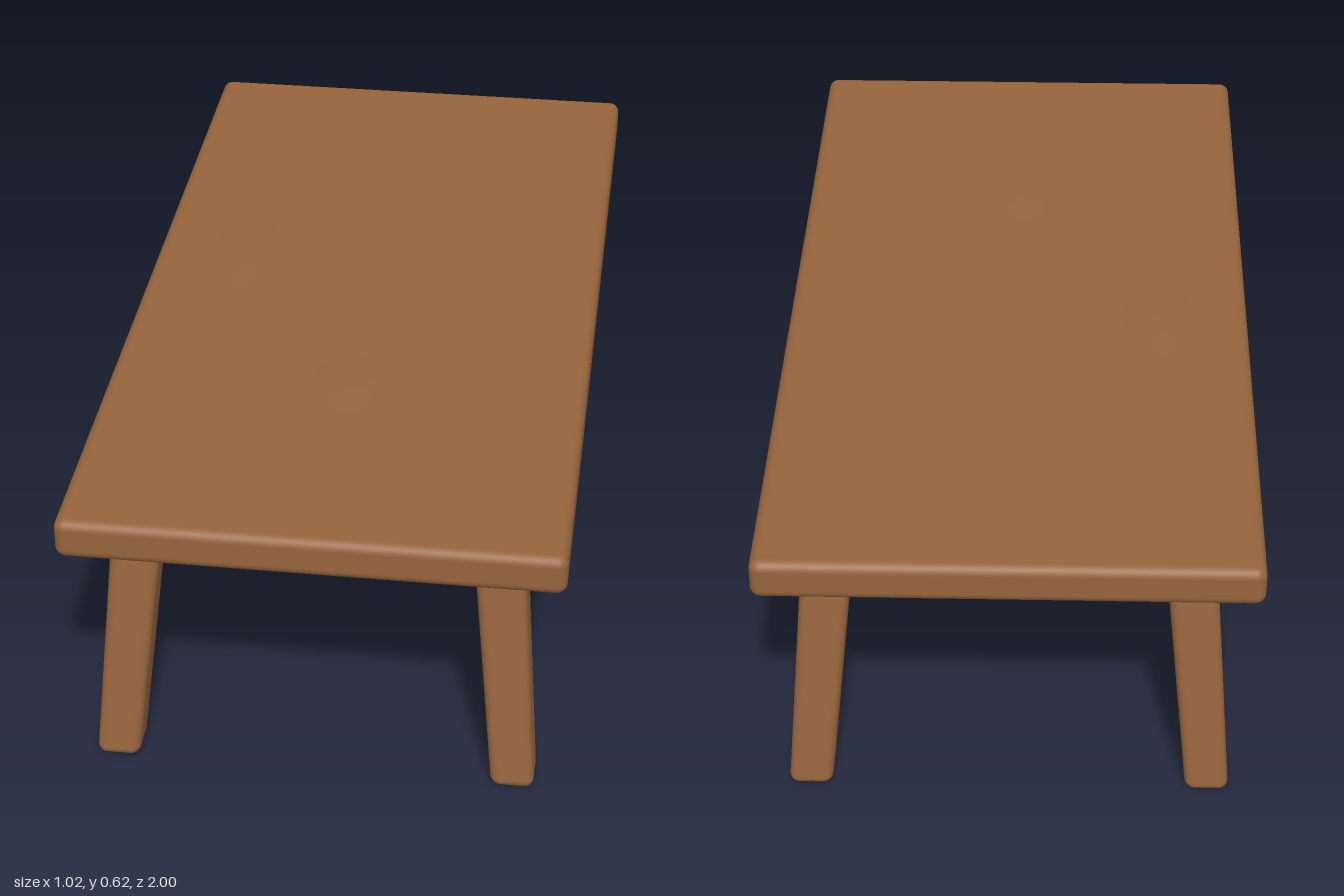
import * as THREE from 'three';
import { mergeVertices } from 'three/addons/utils/BufferGeometryUtils.js';
import { RoundedBoxGeometry } from 'three/addons/geometries/RoundedBoxGeometry.js';

const wood = new THREE.MeshStandardMaterial({ color: 0x96643c });
wood.name = 'warm brown wood';

export function createModel() {
  const model = new THREE.Group();
  model.name = 'lowTable';

  const add = (name, geometry, x = 0, y = 0, z = 0) => {
    const mesh = new THREE.Mesh(geometry, wood);
    mesh.name = name;
    mesh.position.set(x, y, z);
    model.add(mesh);
    return mesh;
  };

  // Thick slab with softened edges
  add('tableTop', new RoundedBoxGeometry(1.02, 0.088, 2, 4, 0.022), 0, 0.572, 0);

  // Faint hand-worn swells in the slab, bell-shaped so they blend in
  const swell = (x, z, rx, rz, height) => {
    const profile = [];
    for (let i = 0; i <= 10; i++) {
      const t = 1 - i / 10;
      profile.push(new THREE.Vector2(t, (1 + Math.cos(Math.PI * t)) / 2));
    }
    add('topSwell', new THREE.LatheGeometry(profile, 32), x, 0.6155, z).scale.set(rx, height, rz);
  };
  swell(-0.31, -0.1, 0.09, 0.22, 0.006);
  swell(0, 0.42, 0.09, 0.14, 0.006);

  // Splayed legs: a rounded block tapered and leaned outward towards the floor
  const legGeometry = (sx, sz) => {
    const height = 0.55;
    const g = new RoundedBoxGeometry(1, height, 1, 4, 0.02);
    g.deleteAttribute('uv');
    g.deleteAttribute('normal');
    const p = g.attributes.position;
    // Keep the corner radius while narrowing the unit block to the leg's width
    const narrow = (v, width) => v - Math.sign(v) * (0.5 - width / 2);
    for (let i = 0; i < p.count; i++) {
      const y = p.getY(i) + height / 2;
      const t = y / 0.53;
      const x = narrow(p.getX(i), 0.09 + 0.014 * t) + sx * (0.415 - 0.047 * t);
      const z = narrow(p.getZ(i), 0.095 + 0.005 * t) + sz * (0.92 - 0.085 * t);
      p.setXYZ(i, x, y, z);
    }
    const smooth = mergeVertices(g);
    smooth.computeVertexNormals();
    return smooth;
  };
  for (const [end, sz] of [['front', 1], ['back', -1]]) {
    for (const [side, sx] of [['Left', 1], ['Right', -1]]) {
      add(`${end}${side}Leg`, legGeometry(sx, sz));
    }
  }

  // Apron rails joining the legs under the slab
  for (const s of [1, -1]) {
    add(s > 0 ? 'frontRail' : 'backRail',
      new RoundedBoxGeometry(0.74, 0.11, 0.085, 3, 0.015), 0, 0.495, s * 0.835);
    add(s > 0 ? 'leftRail' : 'rightRail',
      new RoundedBoxGeometry(0.085, 0.1, 1.66, 3, 0.015), s * 0.368, 0.505, 0);
  }

  return model;
}
